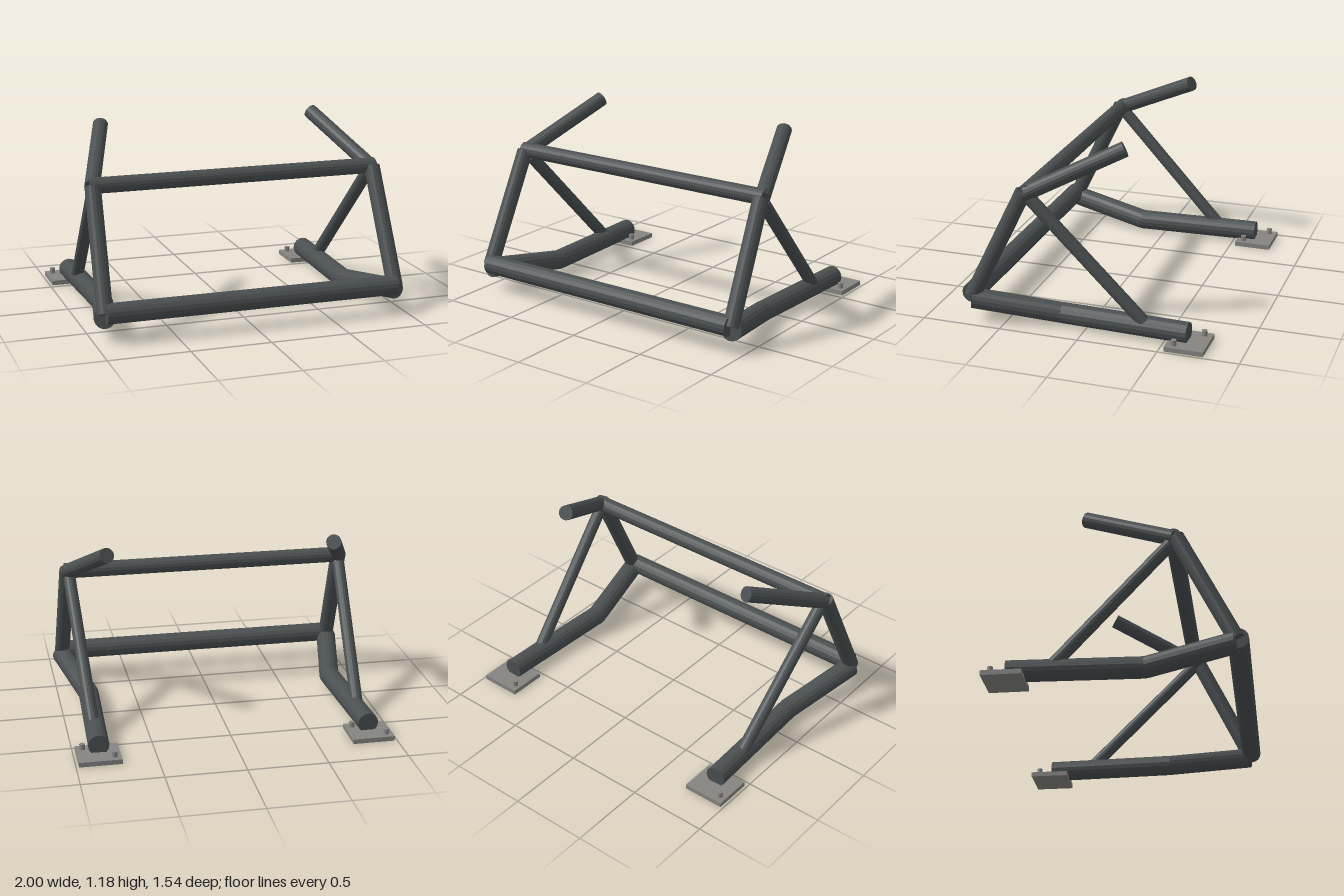
import * as THREE from 'three';

export function createModel() {
  const steel = new THREE.MeshStandardMaterial({ name: 'dark steel', color: 0x4a4f50 });
  const plateGrey = new THREE.MeshStandardMaterial({ name: 'plate grey', color: 0x858481 });
  steel.flatShading = true;
  const model = new THREE.Group();
  model.name = 'tubeFrame';

  const UP = new THREE.Vector3(0, 1, 0);
  const add = (name, geometry, material, parent) => {
    const mesh = new THREE.Mesh(geometry, material);
    mesh.name = name;
    parent.add(mesh);
    return mesh;
  };

  // Straight capped tube between two points
  function tube(name, a, b, radius, parent) {
    const p = new THREE.Vector3(...a), q = new THREE.Vector3(...b);
    const dir = q.clone().sub(p);
    const mesh = add(name, new THREE.CylinderGeometry(radius, radius, dir.length(), 16), steel, parent);
    mesh.position.copy(p).add(q).multiplyScalar(0.5);
    mesh.quaternion.setFromUnitVectors(UP, dir.normalize());
  }

  // Cross bars
  tube('lowerFrontBar', [-0.93, 0.18, 0.705], [0.93, 0.18, 0.705], 0.063, model);
  tube('upperFrontBar', [-0.93, 0.87, 0.34], [0.93, 0.87, 0.34], 0.05, model);

  for (const s of [1, -1]) {
    const side = new THREE.Group();
    side.name = s > 0 ? 'leftSide' : 'rightSide';
    model.add(side);

    // Bent base rail with a rounded joint at the bend
    const bend = [s * 0.815, 0.076, 0.16];
    tube('railFront', [s * 0.935, 0.152, 0.695], bend, 0.065, side);
    tube('railRear', bend, [s * 0.847, 0.076, -0.65], 0.065, side);
    add('railBend', new THREE.SphereGeometry(0.064, 16, 12), steel, side).position.set(...bend);

    // Upright, diagonal brace and upper arm
    tube('upright', [s * 0.933, 0.172, 0.697], [s * 0.91, 0.87, 0.358], 0.05, side);
    tube('diagonalBrace', [s * 0.9, 0.83, 0.32], [s * 0.85, 0.11, -0.37], 0.04, side);
    tube('upperArm', [s * 0.91, 0.865, 0.345], [s * 0.715, 1.135, -0.21], 0.048, side);

    // Foot plate with two bolts on one diagonal, same way round on both sides
    const foot = new THREE.Group();
    foot.name = 'foot';
    foot.position.set(s * 0.851, 0, -0.655);
    side.add(foot);
    add('footPlate', new THREE.BoxGeometry(0.264, 0.03, 0.24), plateGrey, foot).position.y = 0.015;
    for (const d of [1, -1]) {
      const bolt = new THREE.CylinderGeometry(0.017, 0.017, 0.045, 16);
      add('bolt', bolt, plateGrey, foot).position.set(d * 0.091, 0.0425, d * 0.07);
    }
  }
  return model;
}
